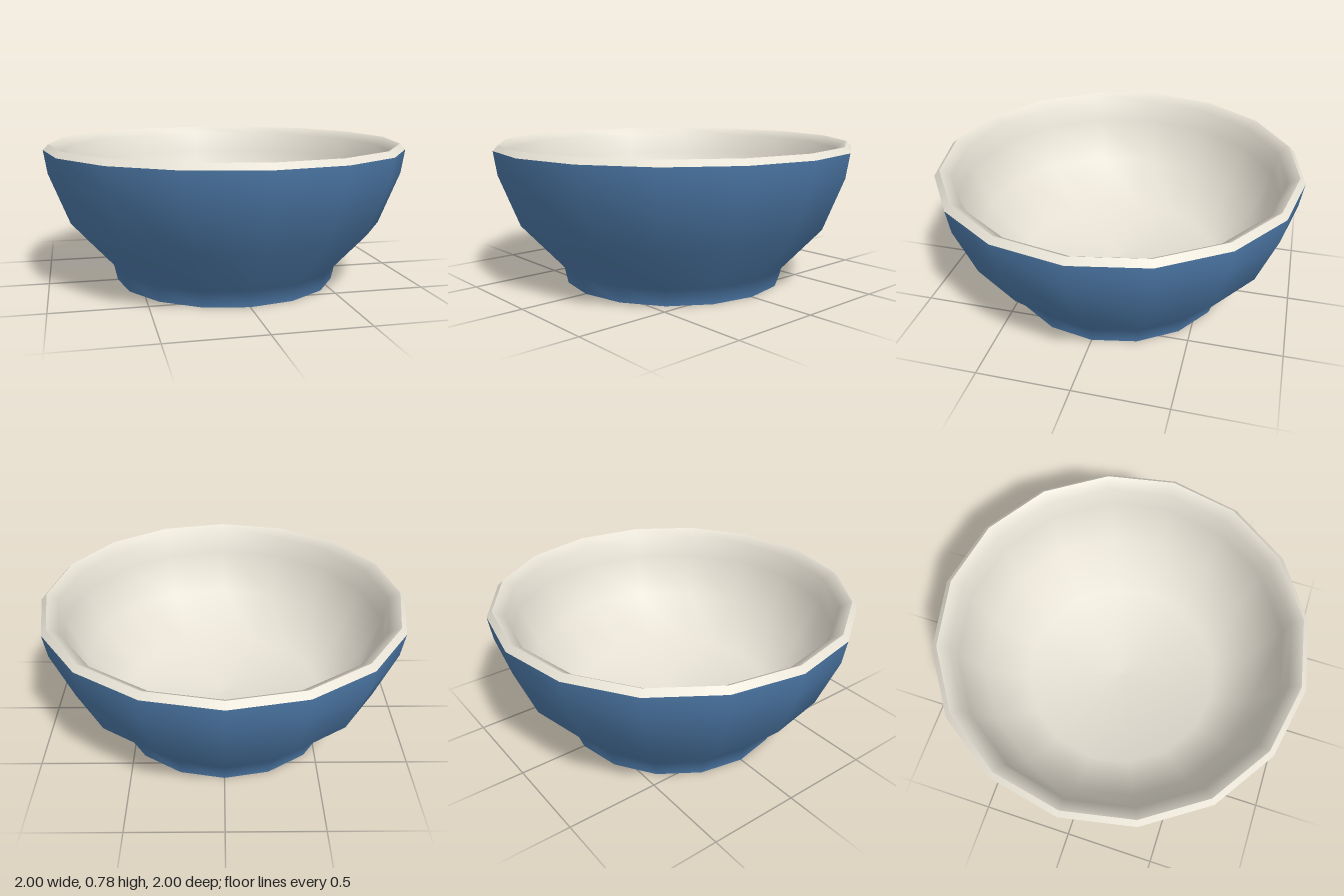
import * as THREE from 'three';

const SIDES = 16;

// Revolves one smooth stretch of the bowl's section; seams between stretches stay sharp.
function turn(name, profile, material) {
  const points = profile.map(([r, y]) => new THREE.Vector2(r, y));
  const mesh = new THREE.Mesh(new THREE.LatheGeometry(points, SIDES), material);
  mesh.name = name;
  return mesh;
}

export function createModel() {
  const blueGlaze = new THREE.MeshStandardMaterial({ color: 0x4f7cac });
  blueGlaze.name = 'blueGlaze';
  const creamClay = new THREE.MeshStandardMaterial({ color: 0xe6e1d4 });
  creamClay.name = 'creamClay';

  const bowl = new THREE.Group();
  bowl.name = 'bowl';
  bowl.add(
    // underside with a shallow recess inside the foot ring
    turn('footUnderside', [[0, 0.06], [0.47, 0.05], [0.52, 0], [0.62, 0]], creamClay),
    // foot and flaring outer wall
    turn('outerWall', [[0.62, 0], [0.64, 0.09], [0.87, 0.34], [0.98, 0.62], [1, 0.75]], blueGlaze),
    // bevelled lip
    turn('rim', [[1, 0.75], [0.97, 0.78]], creamClay),
    // inner lip, wall and floor
    turn('innerWall', [[0.97, 0.78], [0.91, 0.74], [0.89, 0.62], [0.79, 0.38], [0.56, 0.16], [0, 0.12]], creamClay),
  );
  return bowl;
}
